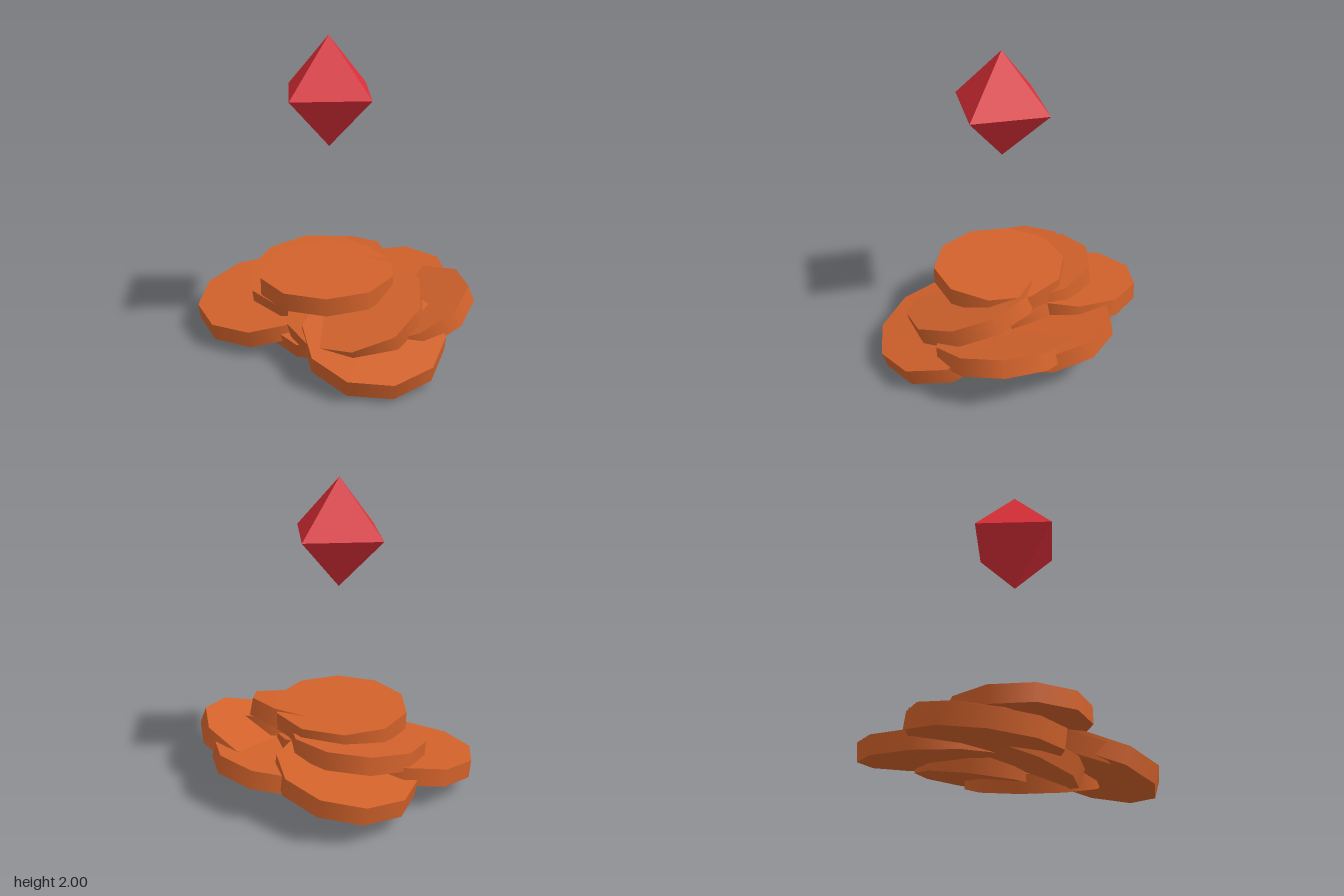
import * as THREE from 'three';

const UP = new THREE.Vector3(0, 1, 0);
const rad = THREE.MathUtils.degToRad;

export function createModel() {
  const group = new THREE.Group();
  const clay = new THREE.MeshStandardMaterial({ color: 0xd2622b });
  clay.name = 'clayOrange';
  const red = new THREE.MeshStandardMaterial({ color: 0xdc2f38 });
  red.name = 'gemRed';

  // Ten-sided stone slab, with its origin at the middle of its top face
  const thickness = 0.116;
  const slabGeometry = new THREE.CylinderGeometry(0.443, 0.443, thickness, 10);
  slabGeometry.translate(0, -thickness / 2, 0);

  // x, y, z of the top centre; slopes of the top along x and z; turn in degrees
  const slabs = [
    ['backLeftSlab', -0.395, 0.295, -0.243, 0.13, -0.09, 0],
    ['backSlab', 0.09, 0.268, -0.312, 0.02, -0.21, 0],
    ['backRightSlab', 0.36, 0.262, -0.17, 0.267, -0.255, 2],
    ['frontRightSlab', 0.452, 0.26, 0.238, -0.22, -0.19, -2],
    ['frontLeftSlab', -0.452, 0.25, 0.312, 0, -0.18, 21],
    ['lowerMiddleSlab', -0.075, 0.262, 0.11, -0.19, -0.28, 0],
    ['upperLeftSlab', -0.258, 0.375, 0.03, -0.04, -0.17, 4.5],
    ['upperRightSlab', 0.228, 0.365, 0.172, -0.03, -0.335, 16],
    ['topSlab', -0.045, 0.487, 0.121, 0.015, 0, 12],
  ];
  for (const [name, x, y, z, slopeX, slopeZ, turn] of slabs) {
    const slab = new THREE.Mesh(slabGeometry, clay);
    slab.name = name;
    slab.position.set(x, y, z);
    const normal = new THREE.Vector3(-slopeX, 1, -slopeZ).normalize();
    const spin = new THREE.Quaternion().setFromAxisAngle(UP, rad(18 - turn));
    slab.quaternion.setFromUnitVectors(UP, normal).multiply(spin);
    group.add(slab);
  }

  // Floating gem
  const gem = new THREE.Mesh(new THREE.OctahedronGeometry(0.344), red);
  gem.name = 'floatingGem';
  gem.position.set(-0.044, 1.656, 0.093);
  group.add(gem);

  return group;
}
